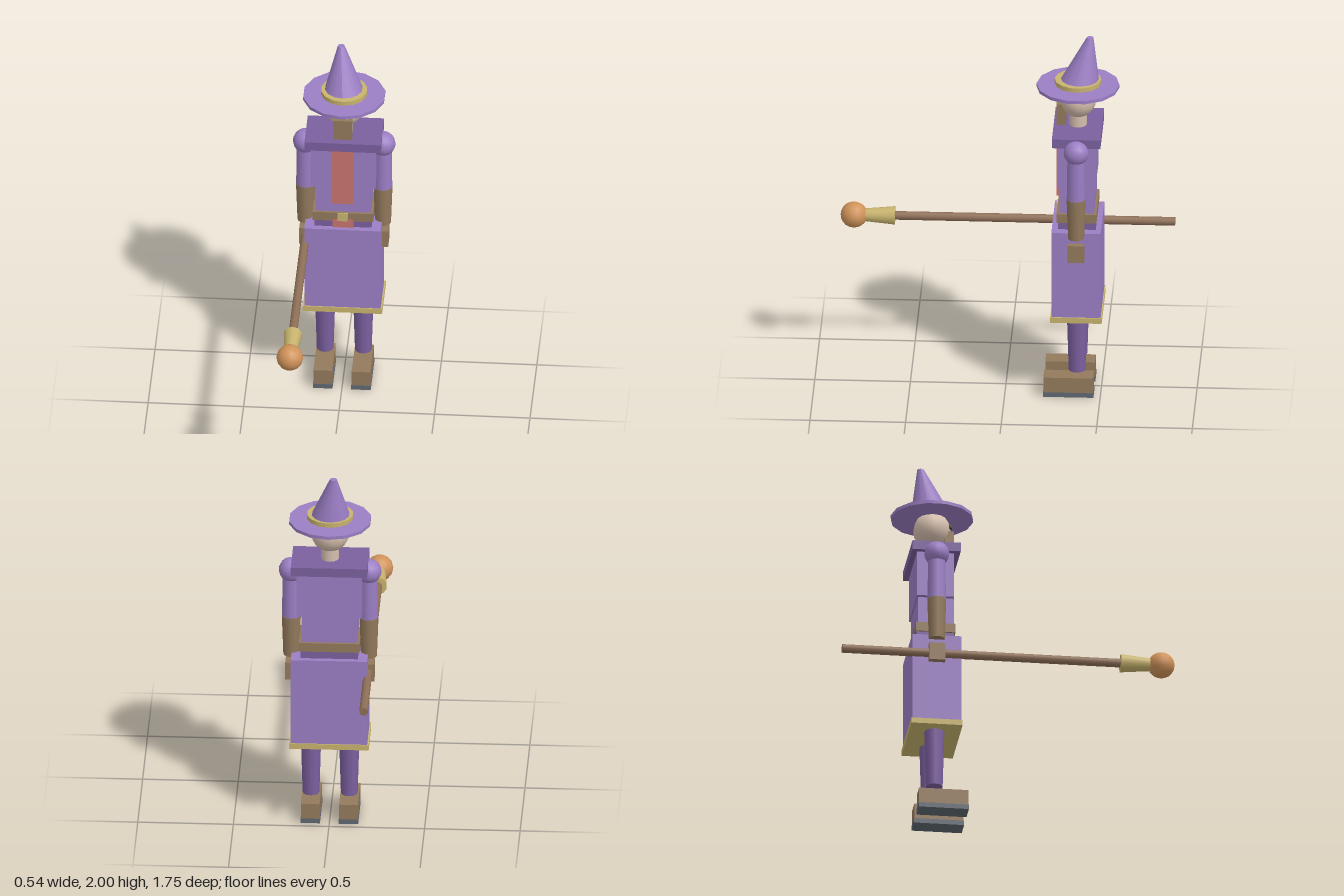
import * as THREE from 'three';

const Z = -0.377; // body centre line

function material(name, color) {
  const m = new THREE.MeshStandardMaterial({ color });
  m.name = name;
  return m;
}

export function createModel() {
  const model = new THREE.Group();
  model.name = 'staffBearer';

  const purple = material('purple cloth', 0x9b7ec4);
  const plum = material('dark purple cloth', 0x7b609f);
  const red = material('red panel', 0xc97470);
  const leather = material('brown leather', 0x937a5c);
  const wood = material('staff wood', 0x8f7058);
  const gold = material('gold trim', 0xc8b46e);
  const amber = material('amber orb', 0xd0935a);
  const skin = material('skin', 0xd6bfae);
  const slate = material('sole slate', 0x606872);
  const dark = material('eye dark', 0x4a4448);

  function add(name, geometry, mat, x, y, z, parent = model) {
    const mesh = new THREE.Mesh(geometry, mat);
    mesh.name = name;
    mesh.position.set(x, y, z);
    parent.add(mesh);
    return mesh;
  }
  // box given by width, its bottom and top, and its back and front
  const box = (name, mat, x, w, y0, y1, z0, z1, parent) =>
    add(name, new THREE.BoxGeometry(w, y1 - y0, z1 - z0), mat, x, (y0 + y1) / 2, (z0 + z1) / 2, parent);
  // upright tapered cylinder between two heights
  const tube = (name, mat, x, rTop, rBottom, y0, y1, sides, parent) =>
    add(name, new THREE.CylinderGeometry(rTop, rBottom, y1 - y0, sides), mat, x, (y0 + y1) / 2, Z, parent);
  const ball = (name, mat, r, x, y, z, parent) =>
    add(name, new THREE.SphereGeometry(r, 14, 10), mat, x, y, z, parent);

  // Robe
  box('skirt', purple, 0, 0.4, 0.475, 0.97, -0.505, -0.247);
  box('skirtHem', gold, 0, 0.416, 0.455, 0.485, -0.511, -0.241);
  box('hips', plum, 0, 0.3, 0.93, 1.03, -0.477, -0.279);
  box('hipPanel', red, 0, 0.11, 0.93, 1.02, -0.285, -0.271);
  box('waist', purple, 0, 0.29, 1.02, 1.22, -0.468, -0.285);
  box('chest', purple, 0, 0.34, 1.21, 1.47, -0.476, -0.281);
  box('chestPanel', red, 0, 0.11, 1.12, 1.465, -0.287, -0.268);
  box('belt', leather, 0, 0.318, 1.01, 1.06, -0.481, -0.272);
  box('buckle', gold, 0, 0.052, 1.012, 1.06, -0.274, -0.266);
  box('shoulderYoke', plum, 0, 0.4, 1.46, 1.51, -0.504, -0.25);

  // Legs, boots and arms
  for (const side of [-1, 1]) {
    const label = side > 0 ? 'left' : 'right';
    const leg = new THREE.Group();
    leg.name = label + 'Leg';
    model.add(leg);
    tube('trouserLeg', plum, side * 0.1, 0.056, 0.044, 0.14, 0.55, 12, leg);
    box('boot', leather, side * 0.1, 0.098, 0.025, 0.11, -0.463, -0.203, leg);
    box('sole', slate, side * 0.1, 0.102, 0, 0.026, -0.465, -0.201, leg);

    const arm = new THREE.Group();
    arm.name = label + 'Arm';
    model.add(arm);
    ball('shoulder', purple, 0.066, side * 0.203, 1.437, Z, arm);
    tube('upperArm', purple, side * 0.203, 0.045, 0.049, 1.17, 1.44, 12, arm);
    tube('forearm', leather, side * 0.203, 0.05, 0.042, 0.945, 1.172, 12, arm);
    box('hand', leather, side * 0.19, 0.086, 0.815, 0.912, -0.42, -0.334, arm);
  }

  // Head
  tube('neck', skin, 0, 0.047, 0.047, 1.5, 1.6, 12);
  ball('head', skin, 0.102, 0, 1.66, Z).scale.z = 0.96;
  box('beard', leather, 0, 0.098, 1.525, 1.642, -0.315, -0.266);
  for (const x of [-0.04, 0.04]) box('eye', dark, x, 0.03, 1.662, 1.677, -0.292, -0.275 - 0.001);

  // Hat with a leaning crown
  tube('hatBrim', purple, 0, 0.217, 0.217, 1.723, 1.741, 14);
  tube('hatBand', gold, 0, 0.122, 0.122, 1.746, 1.77, 14);
  const crown = new THREE.CylinderGeometry(0.018, 0.114, 0.272, 14);
  const p = crown.attributes.position;
  for (let i = 0; i < p.count; i++) {
    const t = p.getY(i) / 0.272 + 0.5;
    p.setX(i, p.getX(i) - 0.02 * t);
    p.setZ(i, p.getZ(i) - 0.062 * t);
  }
  crown.computeVertexNormals();
  add('hatCrown', crown, purple, 0, 1.864, Z);

  // Staff held level, pointing forward
  const staff = new THREE.Group();
  staff.name = 'staff';
  staff.position.set(-0.2, 0.864, 0);
  staff.rotation.x = Math.PI / 2;
  model.add(staff);
  add('shaft', new THREE.CylinderGeometry(0.023, 0.023, 1.48, 10), wood, 0, -0.135, 0, staff);
  add('ferrule', new THREE.CylinderGeometry(0.033, 0.049, 0.17, 10), gold, 0, 0.675, 0, staff);
  ball('orb', amber, 0.07, 0, 0.805, 0, staff);

  return model;
}
